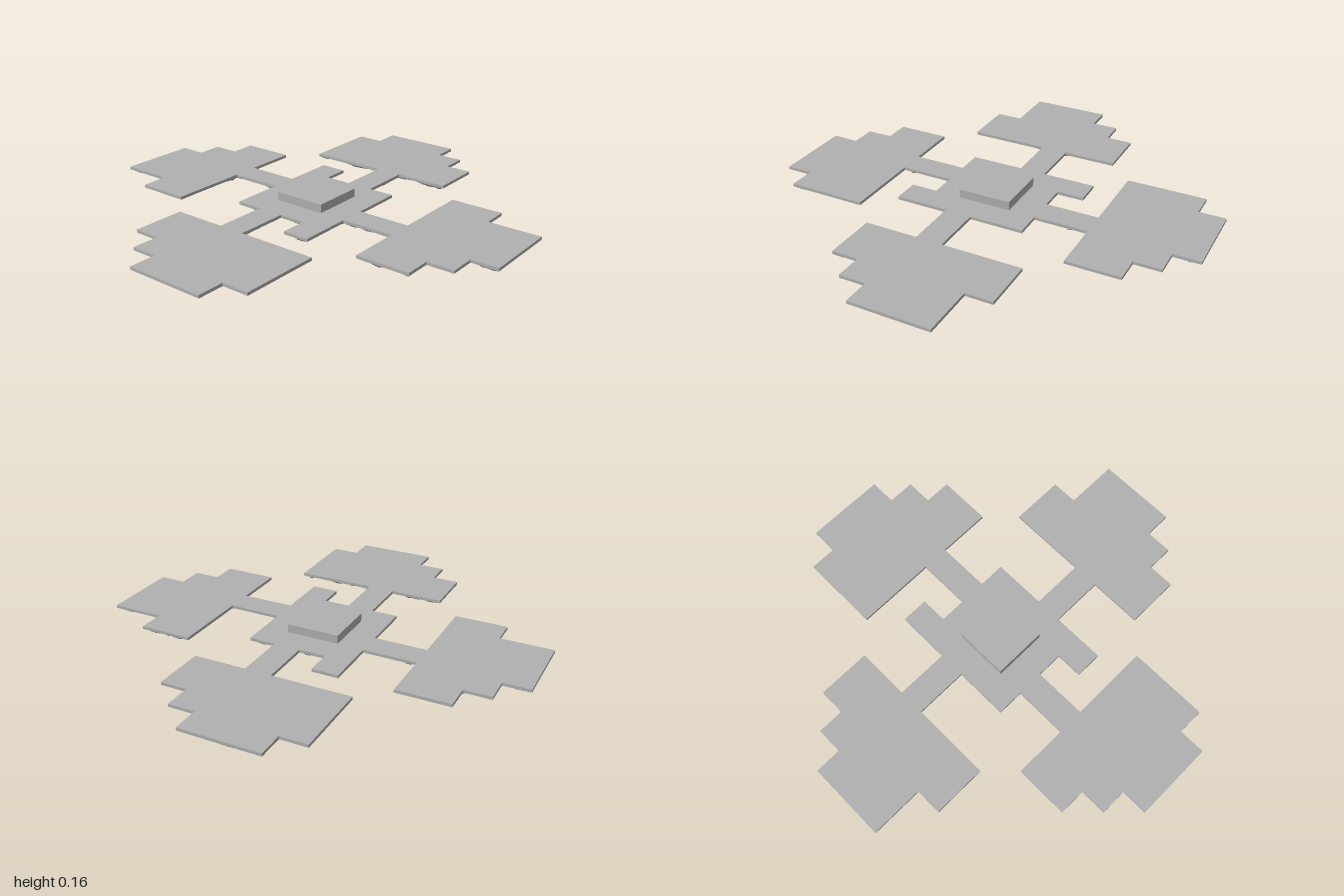
import * as THREE from 'three';

const CELL = 0.125, TOP = 0.123, RIM = 0.109, SUB = 4;

// Half of the stepped outline in cells (x, z); a half turn gives the rest.
const half = [
  [-4, -1], [-2, -1], [-2, -2], [0, -2], [0, -4], [-3, -4], [-3, -6], [-2, -6],
  [-2, -8], [1, -8], [1, -7], [2, -7], [2, -6], [3, -6], [3, -4], [1, -4],
  [1, -2], [3, -2], [3, -1], [2, -1], [2, 0], [4, 0], [4, -3], [7, -3],
  [7, -2], [8, -2], [8, 1], [7, 1], [7, 2], [6, 2], [6, 3], [4, 3],
];
const outline = [...half, ...half.map(([x, z]) => [-x, -z])]
  .map(([x, z]) => new THREE.Vector2(x * CELL, z * CELL));

// Repeatable value in -1..1 for a grid point
function hash(i, j, k) {
  const s = Math.sin(i * 127.1 + j * 311.7 + k * 74.7) * 43758.5453;
  return (s - Math.floor(s)) * 2 - 1;
}

function isInside(x, z) {
  let inside = false;
  outline.forEach((a, n) => {
    const b = outline[(n + 1) % outline.length];
    if ((a.y > z) !== (b.y > z) && x < a.x + (b.x - a.x) * (z - a.y) / (b.y - a.y)) inside = !inside;
  });
  return inside;
}

// Distance to the nearest edge (all edges run along x or z)
function edgeDistance(x, z) {
  let best = Infinity;
  outline.forEach((a, n) => {
    const b = outline[(n + 1) % outline.length];
    const dx = Math.max(Math.min(a.x, b.x) - x, 0, x - Math.max(a.x, b.x));
    const dz = Math.max(Math.min(a.y, b.y) - z, 0, z - Math.max(a.y, b.y));
    best = Math.min(best, Math.hypot(dx, dz));
  });
  return best;
}

// Rocky underside: hangs deeper the farther it is from the edge, with rough jitter
function rockGeometry() {
  const positions = [], index = [], ids = new Map();
  const step = CELL / SUB, count = 8 * SUB;
  const vertex = (i, j) => {
    const key = i + ',' + j;
    if (!ids.has(key)) {
      const x = i * step, z = j * step, d = edgeDistance(x, z);
      const loose = d < 1e-6 ? 0 : 1;
      const drop = loose * (0.42 * d + 0.008 * hash(i, j, 1));
      ids.set(key, positions.length / 3);
      positions.push(
        x + loose * 0.3 * step * hash(i, j, 2),
        RIM - THREE.MathUtils.clamp(drop, 0, RIM),
        z + loose * 0.3 * step * hash(i, j, 3));
    }
    return ids.get(key);
  };
  for (let i = -count; i < count; i++) {
    for (let j = -count; j < count; j++) {
      if (!isInside((i + 0.5) * step, (j + 0.5) * step)) continue;
      const a = vertex(i, j), b = vertex(i + 1, j), c = vertex(i + 1, j + 1), d = vertex(i, j + 1);
      if (hash(i, j, 4) > 0) index.push(a, b, c, a, c, d);
      else index.push(a, b, d, b, c, d);
    }
  }
  const geometry = new THREE.BufferGeometry();
  geometry.setAttribute('position', new THREE.Float32BufferAttribute(positions, 3));
  geometry.setIndex(index);
  const flat = geometry.toNonIndexed();
  flat.computeVertexNormals();
  return flat;
}

export function createModel() {
  const group = new THREE.Group();
  group.name = 'floatingIslands';
  const stone = new THREE.MeshStandardMaterial({ color: 0xb0b0b0, flatShading: true });
  stone.name = 'grey stone';
  const add = (name, geometry) => {
    const mesh = new THREE.Mesh(geometry, stone);
    mesh.name = name;
    group.add(mesh);
    return mesh;
  };

  // Flat ground with four outer islands, bridges and the centre
  const ground = new THREE.ExtrudeGeometry(new THREE.Shape(outline), { depth: TOP - RIM, bevelEnabled: false });
  ground.rotateX(Math.PI / 2);
  add('groundSlab', ground).position.y = TOP;

  add('rockUnderside', rockGeometry());

  // Raised square platform in the middle
  add('centrePlatform', new THREE.BoxGeometry(0.25, 0.04, 0.25)).position.y = TOP + 0.02;
  return group;
}
